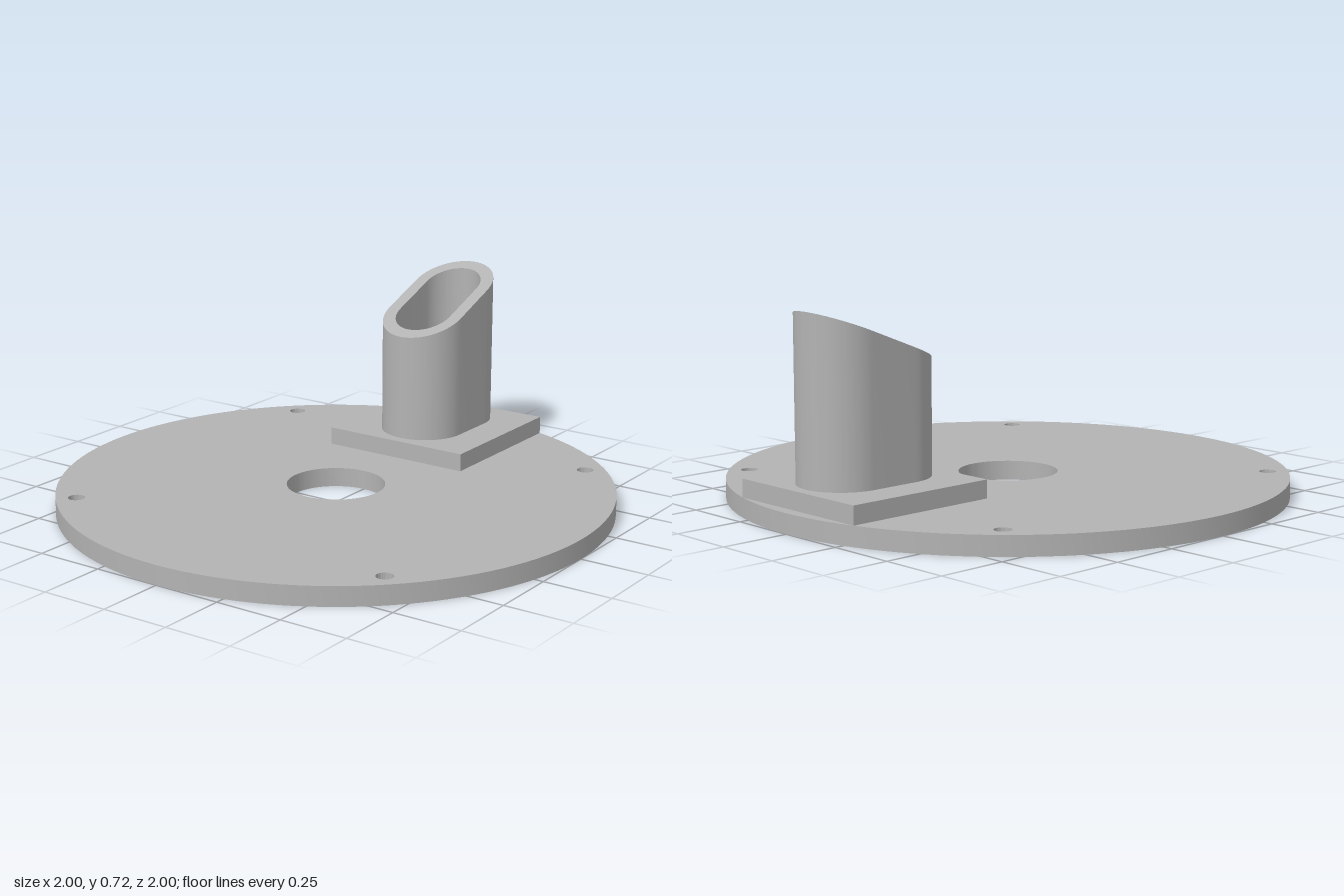
import * as THREE from 'three';
import { toCreasedNormals } from 'three/addons/utils/BufferGeometryUtils.js';

const PLATE_TOP = 0.07, BLOCK_TOP = 0.135, SPOUT_Z = -0.667;

// Outline of a rounded slot; shapes are drawn with plan y = -z
function slot(Type, halfWidth, halfLength) {
  const straight = halfLength - halfWidth, cy = -SPOUT_Z;
  const s = new Type();
  s.absarc(0, cy + straight, halfWidth, 0, Math.PI, false);
  s.absarc(0, cy - straight, halfWidth, Math.PI, Math.PI * 2, false);
  s.closePath();
  return s;
}

function circle(Type, x, y, r) {
  const s = new Type();
  s.absarc(x, y, r, 0, Math.PI * 2, false);
  return s;
}

// Extrude a plan shape upward, leaving it standing on y = bottom
function slab(shape, bottom, top, curveSegments) {
  const g = new THREE.ExtrudeGeometry(shape, { depth: top - bottom, bevelEnabled: false, curveSegments });
  g.rotateX(-Math.PI / 2);
  g.translate(0, bottom, 0);
  return g;
}

export function createModel() {
  const model = new THREE.Group();
  model.name = 'flangeWithSpout';
  const grey = new THREE.MeshStandardMaterial({ color: 0xb3b3b3 });
  grey.name = 'plainGrey';

  const add = (name, geometry) => {
    const mesh = new THREE.Mesh(toCreasedNormals(geometry, 0.5), grey);
    mesh.name = name;
    model.add(mesh);
  };

  // Round base plate with centre bore, four screw holes and a narrow slot
  const plate = circle(THREE.Shape, 0, 0, 1);
  plate.holes.push(circle(THREE.Path, 0, 0, 0.177));
  for (const x of [-0.655, 0.655])
    for (const y of [-0.655, 0.655]) plate.holes.push(circle(THREE.Path, x, y, 0.03));
  plate.holes.push(slot(THREE.Path, 0.083, 0.144));
  add('basePlate', slab(plate, 0, PLATE_TOP, 64));

  // Square mounting block, bored as wide as the spout
  const block = new THREE.Shape();
  const h = 0.29, cy = -SPOUT_Z;
  block.moveTo(-h, cy - h);
  block.lineTo(h, cy - h);
  block.lineTo(h, cy + h);
  block.lineTo(-h, cy + h);
  block.closePath();
  block.holes.push(slot(THREE.Path, 0.11, 0.201));
  add('mountingBlock', slab(block, PLATE_TOP, BLOCK_TOP, 32));

  // Hollow spout, cut off at a slant that rises towards the back
  const spout = slot(THREE.Shape, 0.158, 0.249);
  spout.holes.push(slot(THREE.Path, 0.11, 0.201));
  const spoutGeometry = slab(spout, BLOCK_TOP, 0.5, 32);
  const p = spoutGeometry.attributes.position;
  for (let i = 0; i < p.count; i++) {
    if (p.getY(i) > 0.3) p.setY(i, 0.6225 - (p.getZ(i) - SPOUT_Z) * 0.392);
  }
  add('slantedSpout', spoutGeometry);

  return model;
}
